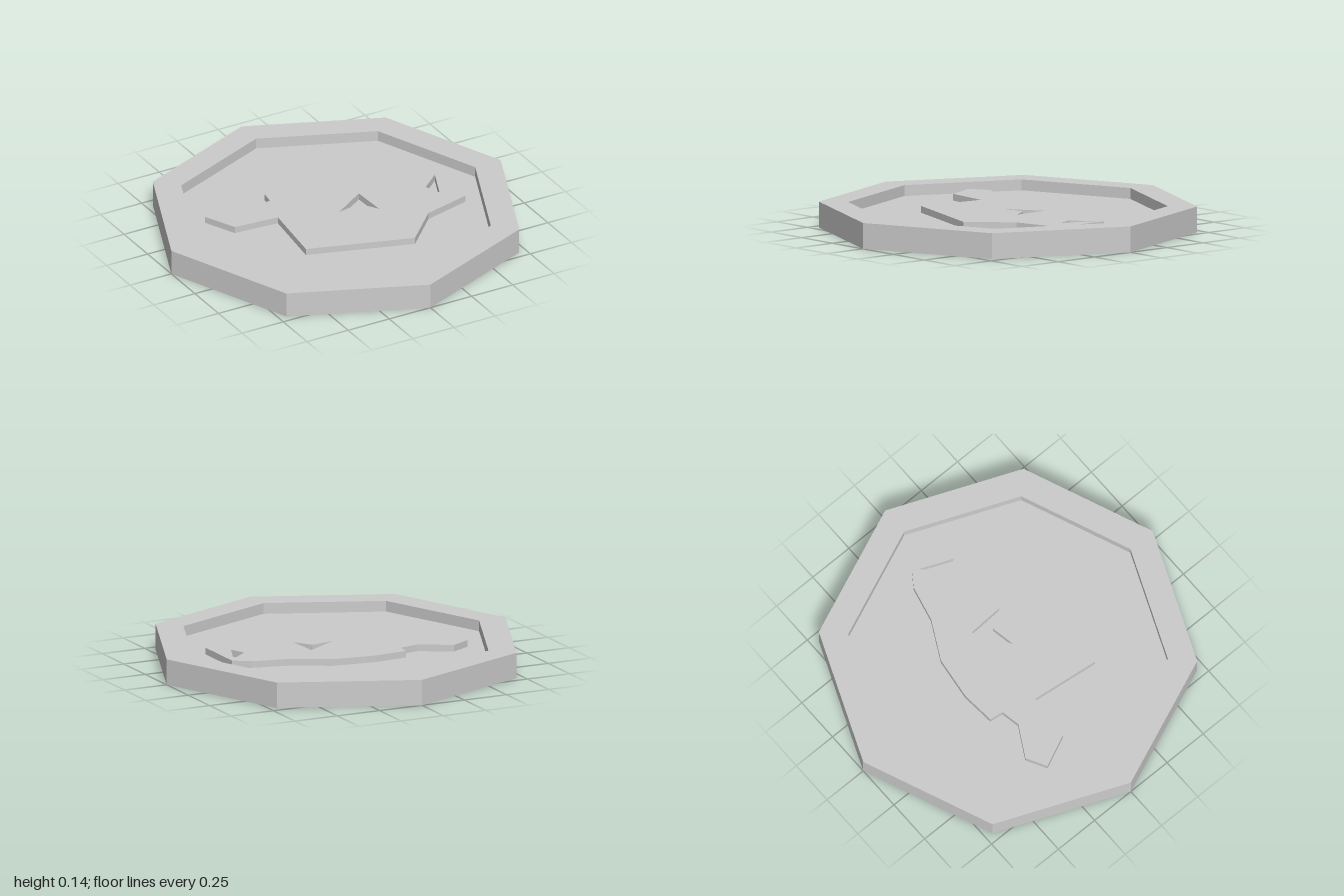
import * as THREE from 'three';

const THICK = 0.138;   // rim height
const RECESS = 0.058;  // depth of the dished face, both sides
const RELIEF = 0.036;  // height of the raised figure, both sides

// Outlines are [x, z] pairs as seen from above
const FIGURE = [
  [-0.64, -0.27], [-0.53, -0.33], [-0.36, -0.235], [-0.255, -0.255],
  [-0.245, -0.33], [-0.06, -0.345], [0.175, -0.315], [0.385, -0.205],
  [0.58, -0.16], [0.665, -0.10], [0.665, 0.21], [0.40, 0.28],
  [0.205, 0.48], [-0.355, 0.30], [-0.31, -0.075], [-0.56, -0.095],
];
const EYE = [[0.64, -0.07], [0.53, 0.025], [0.565, 0.11]];
const FIN = [[0, 0.035], [0.19, -0.09], [0.2, 0.11], [0.135, 0.01]];

const octagon = (r) => Array.from({ length: 8 }, (_, i) =>
  [r * Math.cos(i * Math.PI / 4), r * Math.sin(i * Math.PI / 4)]);

// Points in the extrusion plane, always counter-clockwise
function toPoints(pairs) {
  const points = pairs.map(([x, z]) => new THREE.Vector2(x, -z));
  return THREE.ShapeUtils.isClockWise(points) ? points.reverse() : points;
}

// Upright slab from y0 to y0 + height with optional cut-outs
function slab(name, material, outline, holes, y0, height) {
  const shape = new THREE.Shape(toPoints(outline));
  for (const hole of holes) shape.holes.push(new THREE.Path(toPoints(hole).reverse()));
  const geometry = new THREE.ExtrudeGeometry(shape, { depth: height, bevelEnabled: false });
  geometry.rotateX(-Math.PI / 2).translate(0, y0, 0);
  const mesh = new THREE.Mesh(geometry, material);
  mesh.name = name;
  return mesh;
}

export function createModel() {
  const material = new THREE.MeshStandardMaterial({ color: 0xcccccc, flatShading: true });
  const coin = new THREE.Group();
  coin.name = 'coin';
  const inner = octagon(0.845);
  coin.add(
    slab('rim', material, octagon(1), [inner], 0, THICK),
    slab('plate', material, inner, [], RECESS, THICK - 2 * RECESS),
    // The same figure stands out from both faces
    slab('topRelief', material, FIGURE, [EYE, FIN], THICK - RECESS, RELIEF),
    slab('bottomRelief', material, FIGURE, [EYE, FIN], RECESS - RELIEF, RELIEF),
  );
  return coin;
}
